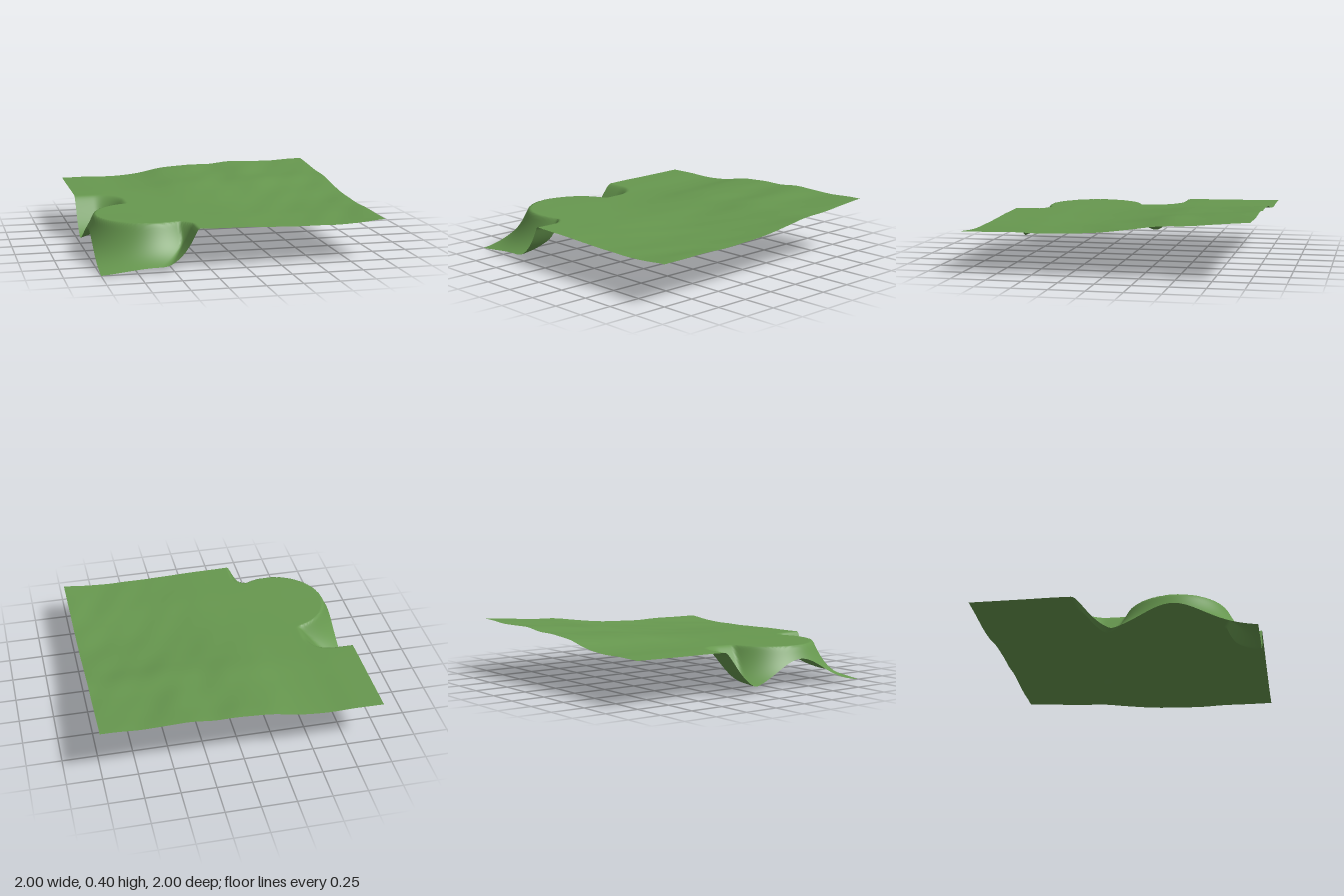
import * as THREE from 'three';

const { clamp, lerp } = THREE.MathUtils;

// Smooth curve through evenly spaced samples over -1..1
function profile(values) {
  const curve = new THREE.SplineCurve(values.map((v, i) => new THREE.Vector2(i, v)));
  return (t) => curve.getPoint(clamp((t + 1) / 2, 0, 1)).y;
}

const backEdge = profile([0.32, 0.322, 0.318, 0.333, 0.37, 0.385, 0.385, 0.403, 0.395, 0.4, 0.403]);
const frontEdge = profile([0.298, 0.297, 0.296, 0.292, 0.287, 0.284, 0.276, 0.27, 0.272, 0.275, 0.289]);
const rise = profile([1, 0.88, 0.76, 0.68, 0.44, 0.24, 0.1, 0.05, 0.05, 0.02, 0]);

// Banks fall steeply and level out
const bank = (d) => {
  const s = Math.max(d, 0);
  return 0.313 * (1 - Math.exp(-(s * s) / (s + 0.01) / 0.12));
};
const bowl = (d) => 0.3 * (1 - Math.exp(-Math.pow(Math.max(d, 0) / 0.175, 1.5)));

function softMin(a, b, k = 0.02) {
  const h = Math.max(k - Math.abs(a - b), 0) / k;
  return Math.max(0, Math.min(a, b) - h * h * k * 0.25);
}

// Depth of the hollows that wrap around the round ledge
function hollow(x, z) {
  const fromLedge = bank(Math.hypot(x + 0.59, z - 0.42) - 0.36);
  if (z > 0.42) {
    const t = clamp((0.84 - z) / 0.1, 0, 1);
    return softMin(fromLedge, bank(-0.33 - 0.1 * t * t - x));
  }
  const px = x + 0.86, pz = -(z + 0.07);
  const inside = 0.2 - Math.hypot(Math.max(px, 0), Math.max(pz, 0)) - Math.min(Math.max(px, pz), 0);
  return softMin(fromLedge, bowl(inside));
}

// Gentle diagonal ripples, fading out towards the flat left side
function ripples(x, z) {
  const along = x - z, across = x + z;
  const fade = THREE.MathUtils.smoothstep(x - 0.25 * z, -0.35, 0.5);
  const wave = Math.sin(across * 11 + Math.sin(along * 4) * 1.3) * 0.5
    + Math.sin(across * 19 + along * 5 + 1) * 0.28
    + Math.sin(x * 9 - z * 3 + 2) * 0.4;
  return 0.0035 * fade * wave;
}

export function createModel() {
  const grass = new THREE.MeshStandardMaterial({ color: 0x67984f, side: THREE.DoubleSide });
  grass.name = 'grass green';

  const n = 160;
  const geometry = new THREE.PlaneGeometry(2, 2, n, n).rotateX(-Math.PI / 2);
  const pos = geometry.attributes.position;
  for (let i = 0; i < pos.count; i++) {
    const x = pos.getX(i), z = pos.getZ(i);
    const ground = lerp(frontEdge(x), backEdge(x), rise(z));
    pos.setY(i, Math.max(0, ground + ripples(x, z) - hollow(x, z)));
  }
  geometry.computeVertexNormals();

  const terrain = new THREE.Mesh(geometry, grass);
  terrain.name = 'terrain';
  const group = new THREE.Group();
  group.name = 'grassyGround';
  group.add(terrain);
  return group;
}
